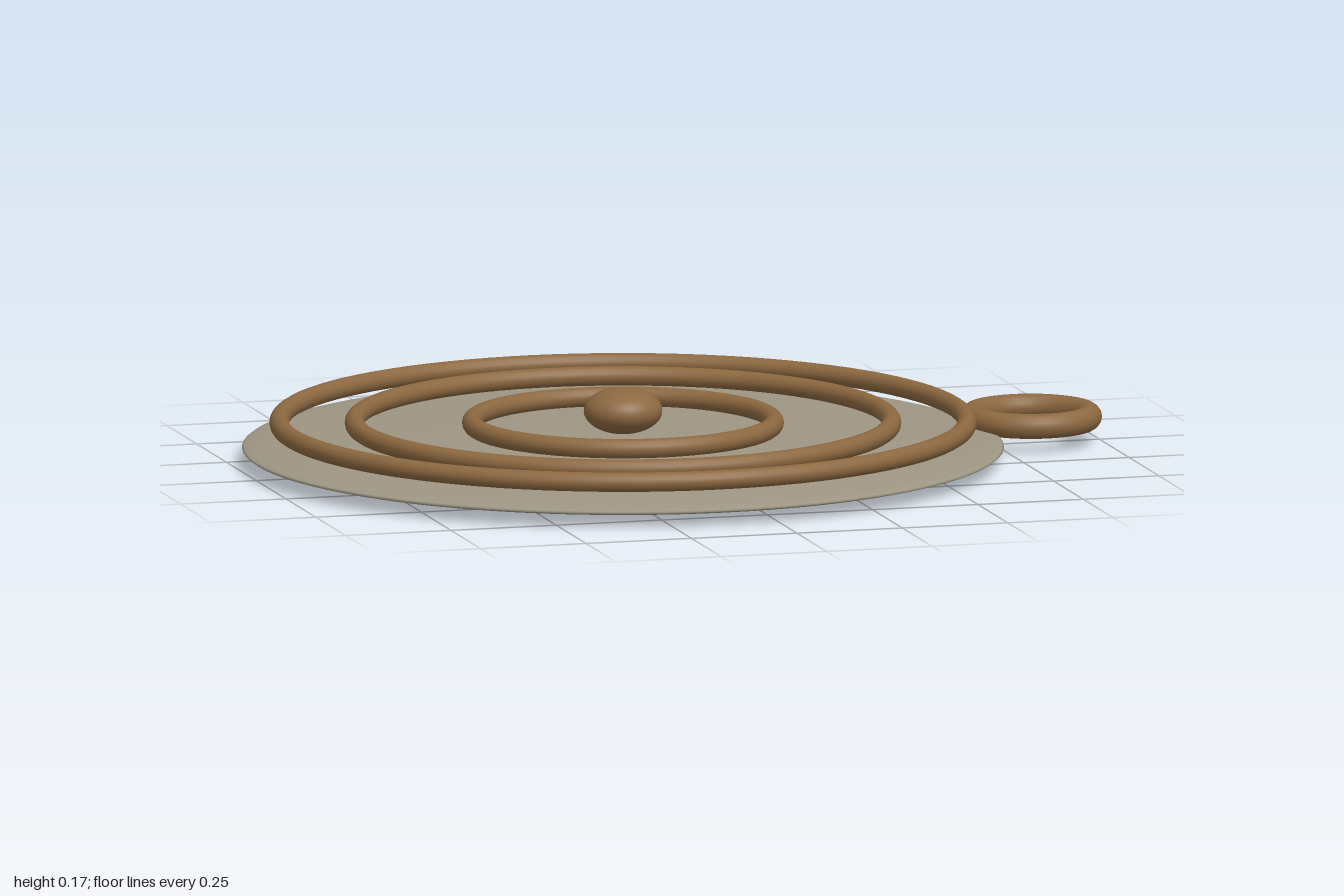
import * as THREE from 'three';

export function createModel() {
  const model = new THREE.Group();
  model.name = 'ringedDisc';

  const stone = new THREE.MeshStandardMaterial({ color: 0x9e9683 });
  stone.name = 'stone grey';
  const bronze = new THREE.MeshStandardMaterial({ color: 0x8c6840 });
  bronze.name = 'bronze brown';

  const centreX = -0.13;

  function add(name, geometry, material, x, y) {
    const mesh = new THREE.Mesh(geometry, material);
    mesh.name = name;
    mesh.position.set(x, y, 0);
    model.add(mesh);
    return mesh;
  }

  // Flat-lying ring
  function addRing(name, radius, tube, x, y) {
    const geometry = new THREE.TorusGeometry(radius, tube, 16, 96).rotateX(Math.PI / 2);
    return add(name, geometry, bronze, x, y);
  }

  // Flattened ball, used for the lens-shaped body and the central boss
  function addLens(name, radius, halfHeight, material, y, segments) {
    const geometry = new THREE.SphereGeometry(radius, segments, 32);
    geometry.scale(1, halfHeight / radius, 1);
    return add(name, geometry, material, centreX, y);
  }

  addLens('discBody', 0.87, 0.036, stone, 0.036, 96);
  addLens('centreBoss', 0.09, 0.053, bronze, 0.121, 32);

  // Concentric raised rings
  [['innerRing', 0.345], ['middleRing', 0.613], ['outerRing', 0.785]].forEach(([name, radius]) =>
    addRing(name, radius, 0.0225, centreX, 0.093));

  // Hanging loop on the side
  addRing('hangingLoop', 0.134, 0.029, 0.837, 0.061);

  return model;
}
